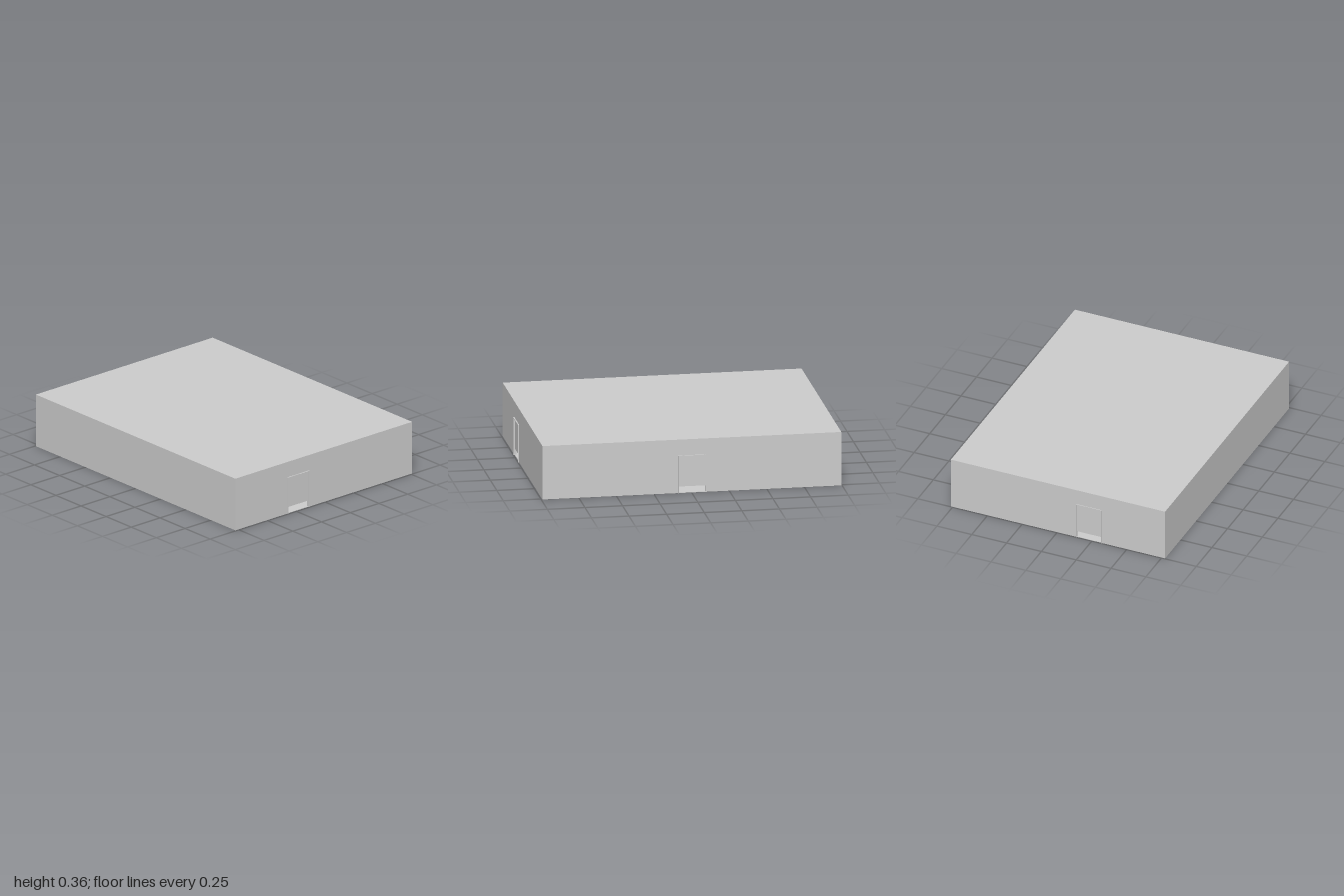
import * as THREE from 'three';

const material = new THREE.MeshStandardMaterial({ color: 0xcccccc, flatShading: true });

// Overall shell limits
const X0 = -0.995, X1 = 0.992, Z0 = -0.764, Z1 = 0.774;
const H = 0.364, T = 0.012;
// Doorway: height, panel gap above the floor, liner thickness
const DOOR_H = 0.256, GAP = 0.044, LINER = 0.004;

function addBox(parent, name, w, h, d, x, y, z) {
  const mesh = new THREE.Mesh(new THREE.BoxGeometry(w, h, d), material);
  mesh.name = name;
  mesh.position.set(x, y, z);
  parent.add(mesh);
  return mesh;
}

// Wall in local x/y with its outer face at z = 0, facing +z; door = [from, to, reveal]
function makeWall(name, length, door) {
  const wall = new THREE.Group();
  wall.name = name;
  const half = length / 2;
  const outline = [[-half, 0]];
  if (door) {
    const [a, b] = door;
    outline.push([a, 0], [a, DOOR_H], [b, DOOR_H], [b, 0]);
  }
  outline.push([half, 0], [half, H], [-half, H]);
  const shape = new THREE.Shape(outline.map(([x, y]) => new THREE.Vector2(x, y)));
  const geometry = new THREE.ExtrudeGeometry(shape, { depth: T, bevelEnabled: false });
  const panelMesh = new THREE.Mesh(geometry.translate(0, 0, -T), material);
  panelMesh.name = name + 'Panel';
  wall.add(panelMesh);

  if (door) {
    const [a, b, reveal] = door;
    const mid = (a + b) / 2, depth = T + reveal, z = (reveal - T) / 2;
    // Thin liner standing slightly proud of the wall
    for (const x of [a + LINER / 2, b - LINER / 2])
      addBox(wall, 'doorJamb', LINER, DOOR_H, depth, x, DOOR_H / 2, z);
    addBox(wall, 'doorHead', b - a, LINER, depth, mid, DOOR_H - LINER / 2, z);
    // Raised door leaf, open along the bottom
    addBox(wall, 'doorLeaf', b - a - 2 * LINER, DOOR_H - LINER - GAP, 0.006,
      mid, (DOOR_H - LINER + GAP) / 2, -0.005);
  }
  return wall;
}

export function createModel() {
  const model = new THREE.Group();
  model.name = 'building';
  const w = X1 - X0, d = Z1 - Z0, cx = (X0 + X1) / 2, cz = (Z0 + Z1) / 2;

  // Floor and roof slabs sit inside the walls
  addBox(model, 'floor', w - 0.001, 0.003, d - 0.001, cx, 0.0015, cz);
  addBox(model, 'roof', w - 2 * T, T, d - 2 * T, cx, H - T / 2, cz);

  const front = makeWall('frontWall', w);
  front.position.set(cx, 0, Z1);

  const back = makeWall('backWall', w, [-0.092, 0.094, 0.01]);
  back.rotation.y = Math.PI;
  back.position.set(cx, 0, Z0);

  // Side walls with facing doorways
  const near = 0.135 - cz, far = 0.321 - cz;
  const left = makeWall('leftWall', d, [-far, -near, 1 - X1]);
  left.rotation.y = Math.PI / 2;
  left.position.set(X1, 0, cz);

  const right = makeWall('rightWall', d, [near, far, 1 + X0]);
  right.rotation.y = -Math.PI / 2;
  right.position.set(X0, 0, cz);

  model.add(front, back, left, right);
  return model;
}
